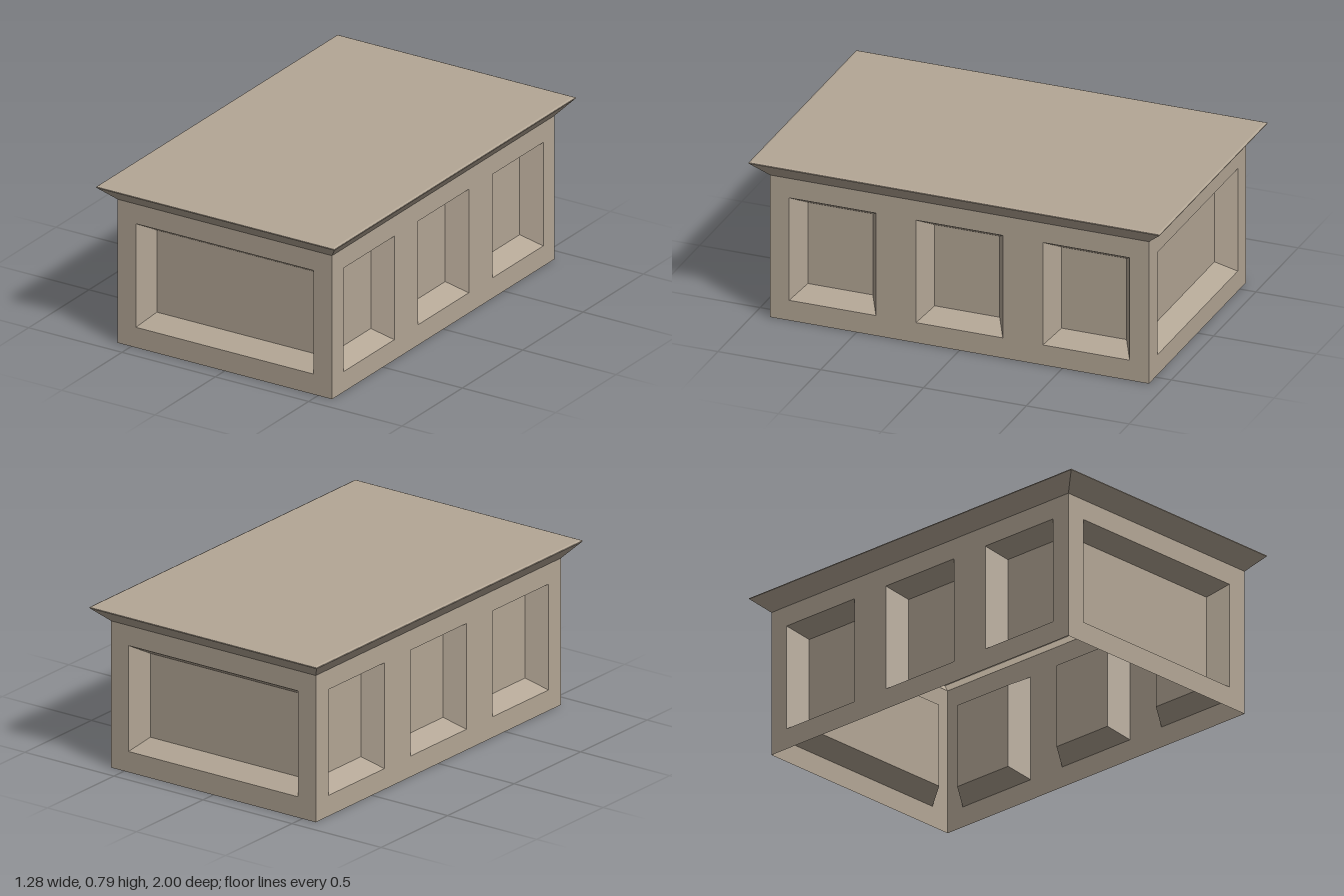
import * as THREE from 'three';

const HALF_W = 0.575, HALF_D = 0.922, WALL_H = 0.707;
const PANEL_LOW = 0.1, PANEL_HIGH = 0.61, BEVEL = 0.053, RECESS = 0.092;

// Flat-shaded skin through a series of four-cornered loops, capped on the last
function loftRects(loops) {
  const pos = [];
  const quad = (a, b, c, d) => pos.push(...a, ...b, ...c, ...a, ...c, ...d);
  for (let k = 0; k < loops.length - 1; k++) {
    const lo = loops[k], hi = loops[k + 1];
    for (let i = 0; i < 4; i++) {
      const j = (i + 1) % 4;
      quad(lo[i], lo[j], hi[j], hi[i]);
    }
  }
  quad(...loops[loops.length - 1]);
  const geometry = new THREE.BufferGeometry();
  geometry.setAttribute('position', new THREE.Float32BufferAttribute(pos, 3));
  geometry.computeVertexNormals();
  return geometry;
}

// Upright rectangle at depth z, and level rectangle at height y
const upright = (x0, x1, y0, y1, z) => [[x0, y0, z], [x1, y0, z], [x1, y1, z], [x0, y1, z]];
const level = (x, z, y) => [[-x, y, z], [x, y, z], [x, y, -z], [-x, y, -z]];

export function createModel() {
  const group = new THREE.Group();
  const stone = new THREE.MeshStandardMaterial({ color: 0xb3a695, side: THREE.DoubleSide });
  stone.name = 'warm grey stone';

  // A wall facing +z with bevelled recessed panels, turned into place
  function addWall(name, halfWidth, distance, angle, panels) {
    const wall = new THREE.Group();
    wall.name = name;
    const face = new THREE.Shape();
    face.moveTo(-halfWidth, 0);
    face.lineTo(halfWidth, 0);
    face.lineTo(halfWidth, WALL_H);
    face.lineTo(-halfWidth, WALL_H);
    face.closePath();
    for (const [x0, x1] of panels) {
      const hole = new THREE.Path();
      hole.moveTo(x0, PANEL_LOW);
      hole.lineTo(x0, PANEL_HIGH);
      hole.lineTo(x1, PANEL_HIGH);
      hole.lineTo(x1, PANEL_LOW);
      hole.closePath();
      face.holes.push(hole);
      const panel = new THREE.Mesh(loftRects([
        upright(x0, x1, PANEL_LOW, PANEL_HIGH, 0),
        upright(x0 + BEVEL, x1 - BEVEL, PANEL_LOW + BEVEL, PANEL_HIGH - BEVEL, -RECESS),
      ]), stone);
      panel.name = 'recessedPanel';
      panel.position.z = distance;
      wall.add(panel);
    }
    const frame = new THREE.Mesh(new THREE.ShapeGeometry(face), stone);
    frame.name = 'wallFrame';
    frame.position.z = distance;
    wall.add(frame);
    wall.rotation.y = angle;
    group.add(wall);
  }

  const endPanels = [[-0.476, 0.476]];
  const sidePanels = [-0.617, 0, 0.617].map((c) => [c - 0.211, c + 0.211]);
  addWall('frontWall', HALF_W, HALF_D, 0, endPanels);
  addWall('backWall', HALF_W, HALF_D, Math.PI, endPanels);
  addWall('leftWall', HALF_D, HALF_W, Math.PI / 2, sidePanels);
  addWall('rightWall', HALF_D, HALF_W, -Math.PI / 2, sidePanels);

  // Flared cornice closed by the flat top slab, open below
  const cornice = new THREE.Mesh(loftRects([
    level(HALF_W, HALF_D, WALL_H),
    level(0.638, 1, 0.778),
    level(0.638, 1, 0.782),
    level(0.628, 0.99, 0.786),
  ]), stone);
  cornice.name = 'corniceAndTop';
  group.add(cornice);

  return group;
}
